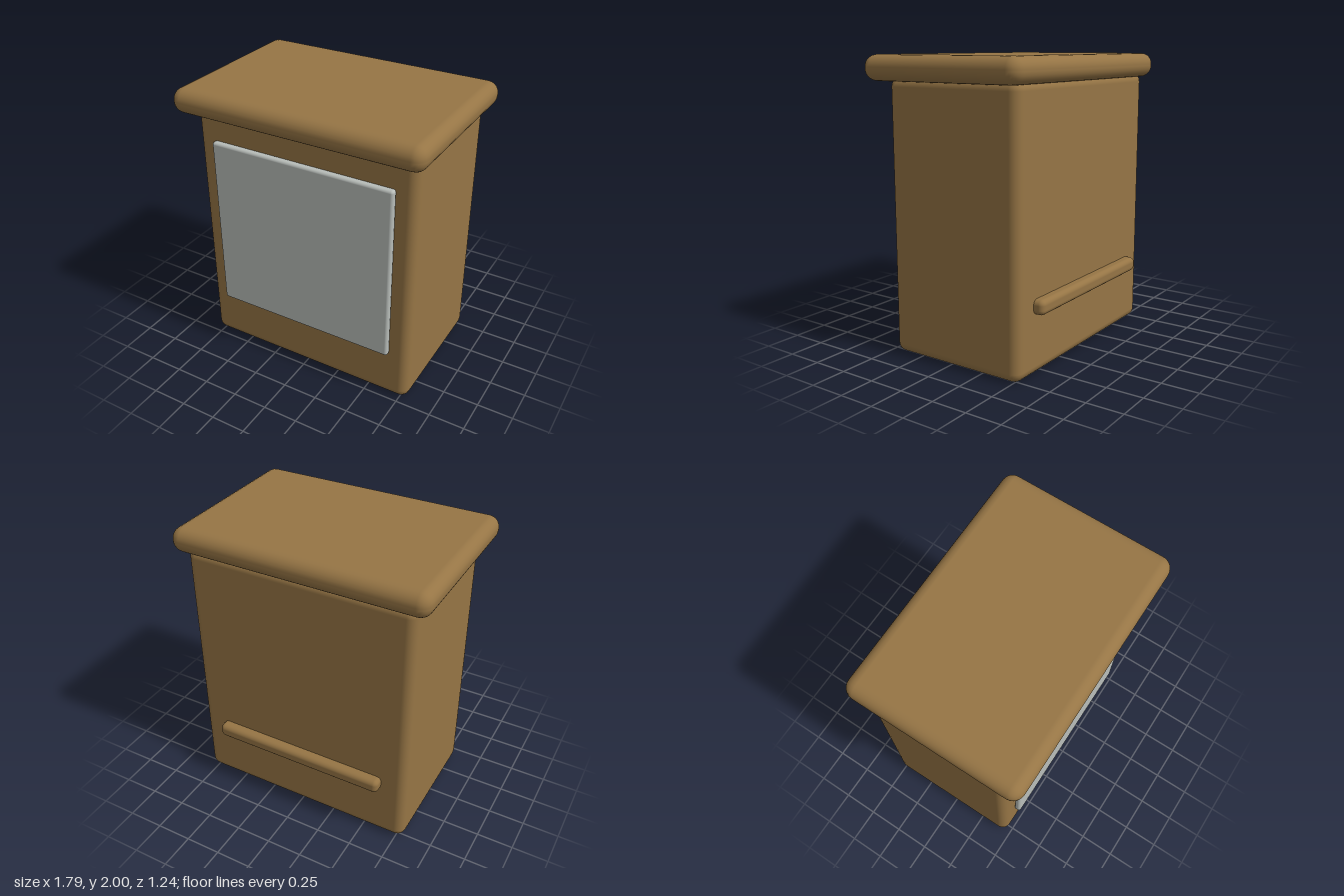
import * as THREE from 'three';
import { RoundedBoxGeometry } from 'three/addons/geometries/RoundedBoxGeometry.js';

export function createModel() {
  const group = new THREE.Group();
  const wood = new THREE.MeshStandardMaterial({ color: 0x967545 });
  const pale = new THREE.MeshStandardMaterial({ color: 0xb9beba });

  // Rounded box given by its extents along each axis
  function block(name, [x0, x1], [y0, y1], [z0, z1], radius, segments, material) {
    const geometry = new RoundedBoxGeometry(x1 - x0, y1 - y0, z1 - z0, segments, radius);
    const mesh = new THREE.Mesh(geometry, material);
    mesh.name = name;
    mesh.position.set((x0 + x1) / 2, (y0 + y1) / 2, (z0 + z1) / 2);
    group.add(mesh);
  }

  // Cabinet with an overhanging lid
  block('cabinetBody', [-0.805, 0.805], [0, 1.86], [-0.55, 0.465], 0.065, 3, wood);
  block('lid', [-0.893, 0.893], [1.83, 2], [-0.605, 0.62], 0.08, 3, wood);

  // Pale panel on the front
  block('frontPanel', [-0.667, 0.667], [0.37, 1.635], [0.457, 0.507], 0.02, 3, pale);

  // Handle rail low on the back
  block('rearRail', [-0.63, 0.63], [0.41, 0.51], [-0.62, -0.52], 0.035, 3, wood);

  return group;
}
